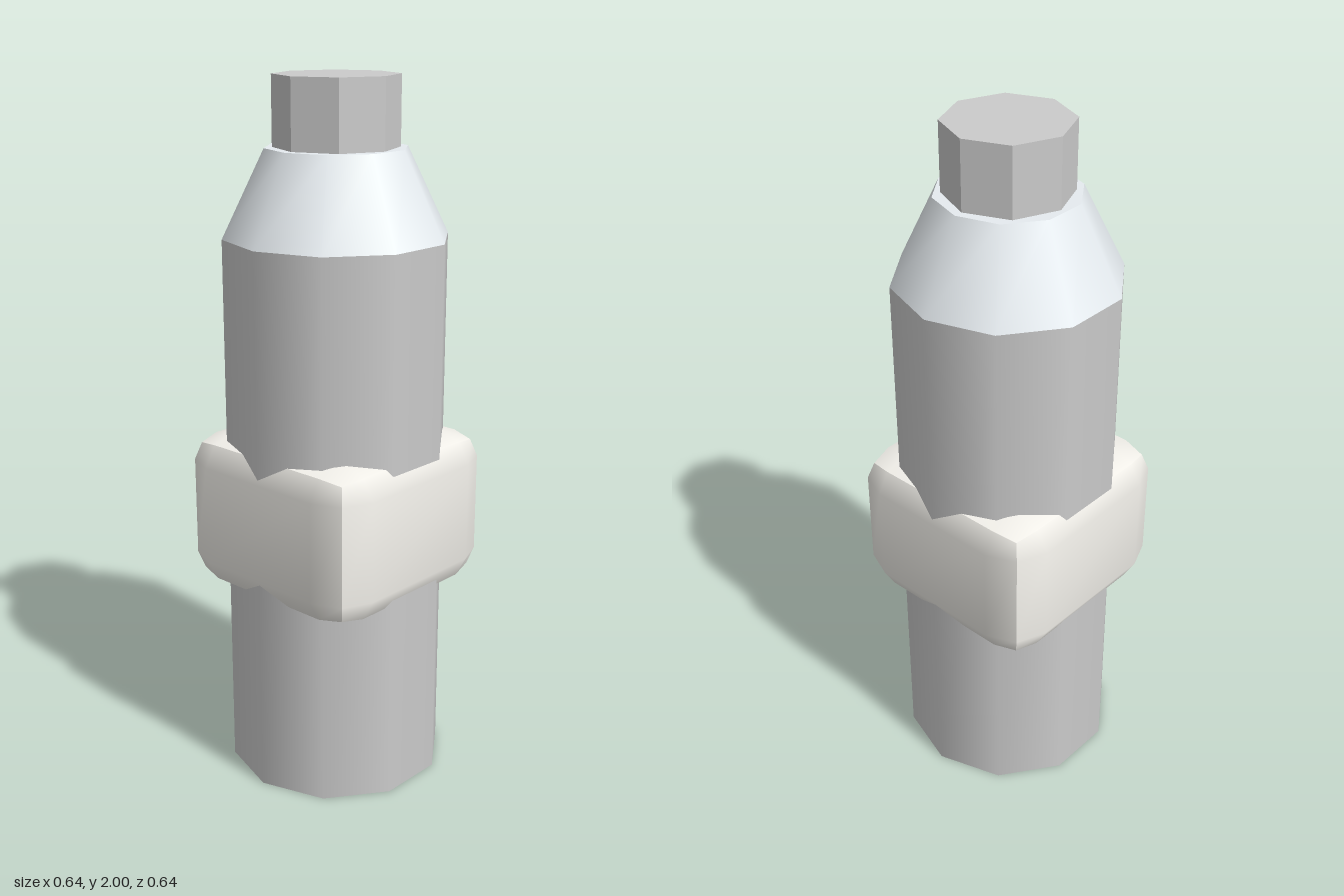
import * as THREE from 'three';

export function createModel() {
  const group = new THREE.Group();
  const material = (color, flatShading = false) =>
    new THREE.MeshStandardMaterial({ color, flatShading });

  const add = (name, geometry, mat, y) => {
    const mesh = new THREE.Mesh(geometry, mat);
    mesh.name = name;
    mesh.position.y = y;
    group.add(mesh);
  };

  // Stacked column: name, top radius, bottom radius, bottom y, top y, sides, colour, flat
  const sections = [
    ['body', 0.315, 0.315, 0, 1.57, 10, 0xcccccc, false],
    ['shoulder', 0.197, 0.315, 1.57, 1.81, 10, 0xe6ecf0, false],
    ['tip', 0.173, 0.173, 1.81, 2, 8, 0xcccccc, true],
  ];
  for (const [name, top, bottom, y0, y1, sides, color, flat] of sections) {
    add(name, new THREE.CylinderGeometry(top, bottom, y1 - y0, sides),
      material(color, flat), (y0 + y1) / 2);
  }

  // Collar: a 3x3x3 box whose edges and corners are drawn in, creased along the cube edges
  const collar = new THREE.BoxGeometry(3, 3, 3, 3, 3, 3);
  const outer = [0, 0.322, 0.287, 0.272]; // reach on faces, edges and corners
  const pos = collar.attributes.position;
  for (let i = 0; i < pos.count; i++) {
    const p = [pos.getX(i), pos.getY(i), pos.getZ(i)];
    const extremes = p.filter((v) => Math.abs(v) > 1).length;
    const [x, y, z] = p.map((v) => Math.sign(v) * (Math.abs(v) > 1 ? outer[extremes] : 0.202));
    pos.setXYZ(i, x, y * 0.71, z);
  }
  collar.computeVertexNormals();
  add('collar', collar, material(0xf2f0ea), 0.787);

  return group;
}
